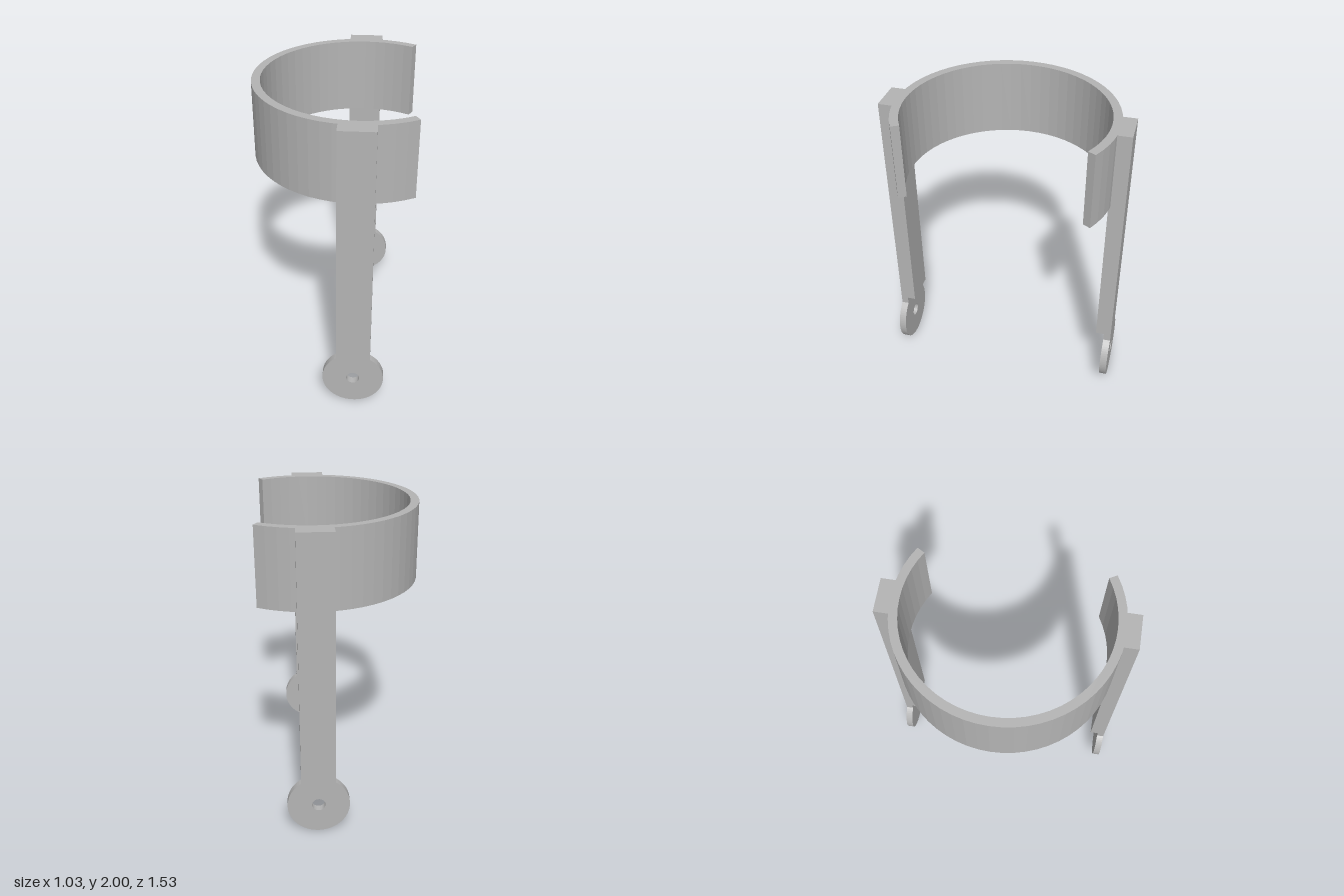
import * as THREE from 'three';

const CX = 0.17; // shared centre line of the ring and the legs

export function createModel() {
  const group = new THREE.Group();
  const grey = new THREE.MeshStandardMaterial({ color: 0xb4b4b4 });
  grey.name = 'grey';

  const add = (name, geometry, parent) => {
    const mesh = new THREE.Mesh(geometry, grey);
    mesh.name = name;
    parent.add(mesh);
  };

  // Open ring: 300 degrees of a band, gap towards +x
  const a = Math.PI / 3;
  const band = new THREE.Shape();
  band.absarc(0, 0, 0.687, a, 2 * Math.PI - a, false);
  band.absarc(0, 0, 0.633, 2 * Math.PI - a, a, true);
  band.closePath();
  const ring = new THREE.ExtrudeGeometry(band, { depth: 0.5, bevelEnabled: false, curveSegments: 20 });
  ring.rotateX(-Math.PI / 2).translate(CX, 1.5, 0);
  add('openRing', ring, group);

  // Round lug with a tab on top and a pin hole
  const w = 0.11, r = 0.2, start = Math.acos(w / r);
  const lug = new THREE.Shape();
  lug.moveTo(w, 0.22);
  lug.lineTo(-w, 0.22);
  lug.absarc(0, 0, r, Math.PI - start, 2 * Math.PI + start, false);
  lug.closePath();
  const hole = new THREE.Path();
  hole.absarc(0, 0, 0.043, 0, 2 * Math.PI, true);
  lug.holes.push(hole);

  // Two legs, front and back, the back one turned half round
  for (const [side, turn] of [['front', 0], ['back', Math.PI]]) {
    const leg = new THREE.Group();
    leg.name = side + 'Leg';
    leg.position.x = CX;
    leg.rotation.y = turn;
    add(side + 'Arm', new THREE.BoxGeometry(2 * w, 1.58, 0.102).translate(0, 1.21, 0.716), leg);
    const plate = new THREE.ExtrudeGeometry(lug, { depth: 0.047, bevelEnabled: false, curveSegments: 32 });
    add(side + 'Lug', plate.translate(0, 0.2, 0.72), leg);
    group.add(leg);
  }
  return group;
}
